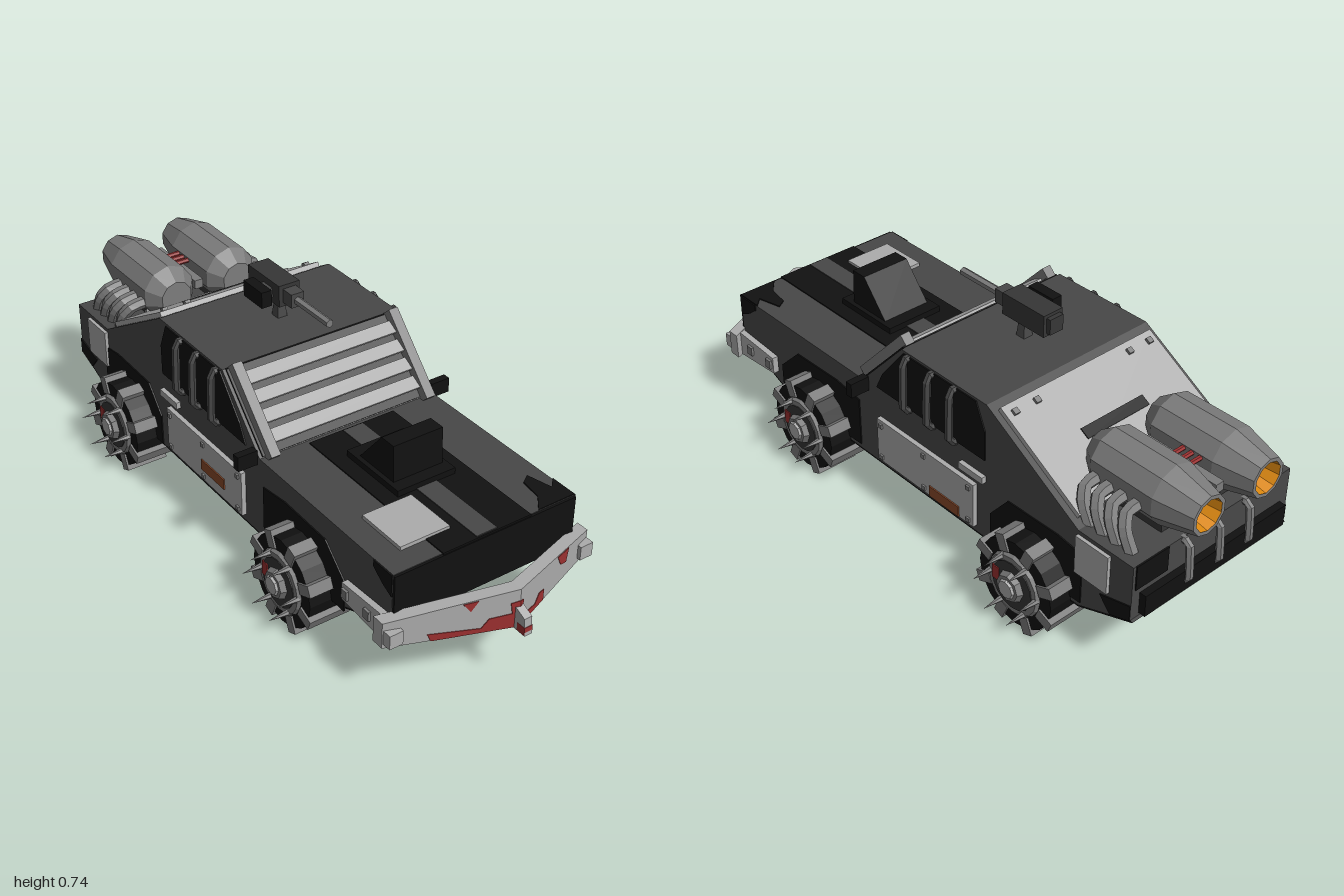
import * as THREE from 'three';

const mat = (name, color, extra = {}) => Object.assign(new THREE.MeshStandardMaterial({ color, ...extra }), { name });

export function createModel() {
  const model = new THREE.Group();
  model.name = 'armouredCar';
  const paint = mat('bodyGrey', 0x484848);
  const black = mat('black', 0x111111);
  const light = mat('lightSteel', 0xacacac);
  const steel = mat('steel', 0x7c7c7c);
  const dark = mat('gunmetal', 0x363636);
  const rust = mat('rust', 0x8a4a2a);
  const red = mat('red', 0x9c3030);
  const orange = mat('exhaustOrange', 0xe08a10, { side: THREE.DoubleSide });

  const add = (name, geo, m, parent = model) => {
    const mesh = new THREE.Mesh(geo.index ? geo.toNonIndexed() : geo, m);
    mesh.geometry.computeVertexNormals();
    mesh.name = name;
    parent.add(mesh);
    return mesh;
  };
  const box = (name, m, w, h, d, x, y, z, parent = model) => {
    const b = add(name, new THREE.BoxGeometry(w, h, d), m, parent);
    b.position.set(x, y, z);
    return b;
  };
  const shape = (pts) => new THREE.Shape(pts.map((p) => new THREE.Vector2(...p)));
  // Side outline given as (z, y), extruded across x
  const slab = (name, m, pts, x, w) => {
    const g = new THREE.ExtrudeGeometry(shape(pts), { depth: w, bevelEnabled: false });
    g.translate(0, 0, -w / 2).rotateY(-Math.PI / 2).translate(x, 0, 0);
    return add(name, g, m);
  };
  const tube = (name, m, pts, r, parent = model) => {
    const path = new THREE.CatmullRomCurve3(pts.map((p) => new THREE.Vector3(...p)), false, 'catmullrom', 0.2);
    return add(name, new THREE.TubeGeometry(path, 10, r, 6), m, parent);
  };
  const cylX = (name, m, r0, r1, len, sides, x, y, z, parent) => {
    const g = new THREE.CylinderGeometry(r1, r0, len, sides).rotateZ(-Math.PI / 2);
    const c = add(name, g, m, parent);
    c.position.set(x, y, z);
    return c;
  };

  // Hull, with black nose and underside
  slab('body', paint, [[0.81, 0.41], [0.18, 0.41], [-0.01, 0.61], [-0.37, 0.61], [-0.73, 0.4], [-0.93, 0.4],
    [-0.93, 0.22], [-0.74, 0.145], [0.56, 0.145], [0.81, 0.25]], 0, 0.62);
  slab('noseAndUnderside', black, [[0.81, 0.408], [0.81, 0.25], [0.56, 0.145], [-0.74, 0.145], [-0.93, 0.22],
    [-0.937, 0.215], [-0.74, 0.138], [0.56, 0.138], [0.818, 0.246], [0.818, 0.408]], 0, 0.618);

  // Hood paint, plate and air intake
  box('hoodStripe', black, 0.3, 0.006, 0.62, 0, 0.411, 0.505);
  box('hoodCentreRear', paint, 0.07, 0.006, 0.14, 0, 0.414, 0.27);
  box('hoodCentreFront', paint, 0.07, 0.006, 0.26, 0, 0.414, 0.68);
  box('hoodPlate', light, 0.165, 0.012, 0.17, -0.152, 0.417, 0.655);
  const patch = add('hoodPatch', new THREE.ExtrudeGeometry(shape([[0.18, -0.81], [0.31, -0.81], [0.31, -0.72],
    [0.28, -0.75], [0.26, -0.67], [0.23, -0.69], [0.22, -0.76]]), { depth: 0.005, bevelEnabled: false }), black);
  patch.rotation.x = -Math.PI / 2;
  patch.position.y = 0.409;
  box('intakeBase', black, 0.2, 0.025, 0.24, 0, 0.421, 0.43);
  slab('intakeScoop', black, [[0.51, 0.43], [0.505, 0.55], [0.45, 0.55], [0.35, 0.43]], 0, 0.17);

  // Windshield with armoured slats
  const wind = new THREE.Group();
  wind.name = 'windshield';
  wind.position.set(0, 0.51, 0.085);
  wind.rotation.x = Math.atan2(0.2, 0.19);
  model.add(wind);
  box('glass', black, 0.6, 0.008, 0.27, 0, 0.002, 0, wind);
  for (const s of [-1, 1]) box('slatFrame', steel, 0.032, 0.035, 0.29, s * 0.276, 0.02, 0.005, wind);
  for (let i = 0; i < 4; i++) {
    box('slat', light, 0.53, 0.008, 0.043, 0, 0.018, -0.09 + i * 0.06, wind).rotation.x = -0.3;
  }
  box('roofEdge', black, 0.6, 0.012, 0.012, 0, 0.604, -0.008);

  // Rear window plate
  const rear = new THREE.Group();
  rear.name = 'rearWindowArmour';
  rear.position.set(0, 0.505, -0.55);
  rear.rotation.x = -Math.atan2(0.21, 0.36);
  model.add(rear);
  box('rearPlate', light, 0.58, 0.016, 0.36, 0, 0.008, 0, rear);
  box('rearSlot', black, 0.24, 0.006, 0.035, 0, 0.016, 0.005, rear);
  for (const x of [-0.26, -0.18, 0.18, 0.26]) for (const z of [-0.15, 0.15]) {
    box('rivet', steel, 0.018, 0.01, 0.018, x, 0.02, z, rear);
  }

  for (const s of [-1, 1]) {
    // Side window, cage bars and mirror
    slab('sideWindow', black, [[0.11, 0.42], [0.08, 0.48], [-0.02, 0.602], [-0.33, 0.602], [-0.365, 0.52], [-0.365, 0.42]], s * 0.311, 0.006);
    for (const z of [-0.04, -0.145, -0.24]) {
      tube('windowBar', paint, [[s * 0.3, 0.595, z], [s * 0.33, 0.59, z], [s * 0.335, 0.43, z], [s * 0.3, 0.415, z]], 0.012);
    }
    box('mirror', black, 0.065, 0.048, 0.025, s * 0.345, 0.412, 0.16);
    // Door armour
    box('doorPlate', light, 0.018, 0.15, 0.43, s * 0.316, 0.243, -0.115);
    for (const z of [0.08, -0.115, -0.31]) for (const y of [0.185, 0.3]) {
      box('rivet', steel, 0.01, 0.014, 0.014, s * 0.326, y, z);
    }
    box('rustPatch', rust, 0.006, 0.036, 0.13, s * 0.326, s > 0 ? 0.188 : 0.225, s > 0 ? -0.205 : -0.06);
    box('doorHandle', light, 0.02, 0.022, 0.1, s * 0.315, 0.355, -0.317);
    box('rearSidePlate', light, 0.012, 0.125, 0.12, s * 0.315, 0.325, -0.79);
    // Painted dark areas and wheel arches
    for (const [z, w] of [[0.4, 0.2], [-0.57, 0.18]]) {
      slab('wheelArch', black, [[z + w, 0.145], [z + w, 0.25], [z + 0.11, 0.335], [z - 0.09, 0.34],
        [z - 0.2, 0.325], [z - w, 0.25], [z - w, 0.16]], s * 0.311, 0.006);
    }
    slab('noseCornerPatch', black, [[0.81, 0.41], [0.81, 0.34], [0.77, 0.36], [0.73, 0.39], [0.73, 0.41]], s * 0.311, 0.006);
    slab('tailPatch', black, [[-0.82, 0.24], [-0.93, 0.27], [-0.93, 0.22], [-0.86, 0.195]], s * 0.311, 0.006);
    // Bumper side arm
    slab('bumperArm', light, [[0.82, 0.2], [0.82, 0.285], [0.62, 0.272], [0.62, 0.215]], s * 0.325, 0.02);
    for (const z of [0.64, 0.74]) box('armBolt', steel, 0.012, 0.03, 0.025, s * 0.337, 0.245, z);

    // Wheels
    for (const z of [0.4, -0.57]) {
      const wheel = new THREE.Group();
      wheel.name = 'wheel';
      wheel.position.set(s * 0.32, 0.15, z);
      if (s < 0) wheel.rotation.y = Math.PI;
      model.add(wheel);
      cylX('tyre', black, 0.143, 0.143, 0.13, 16, 0, 0, 0, wheel);
      cylX('rim', steel, 0.105, 0.095, 0.016, 16, 0.067, 0, 0, wheel);
      cylX('rimRecess', dark, 0.078, 0.078, 0.006, 16, 0.075, 0, 0, wheel);
      cylX('hub', steel, 0.055, 0.042, 0.03, 8, 0.08, 0, 0, wheel);
      cylX('hubCap', light, 0.034, 0.028, 0.014, 8, 0.095, 0, 0, wheel);
      box('redStain', red, 0.006, 0.045, 0.026, 0.078, 0.01, 0.062, wheel);
      for (let i = 0; i < 8; i++) {
        const a = (i + 0.5) * Math.PI / 4;
        const cleat = box('treadCleat', steel, 0.142, 0.055, 0.036, 0, Math.cos(a) * 0.13, Math.sin(a) * 0.13, wheel);
        cleat.rotation.x = a;
      }
      for (let i = 0; i < 6; i++) {
        const a = i * Math.PI / 3;
        cylX('spike', steel, 0.011, 0, 0.075, 6, 0.102, Math.sin(a) * 0.09, Math.cos(a) * 0.09, wheel);
      }
    }

    // Thruster with open orange nozzle
    const prof = [[0, 0], [0.055, 0], [0.092, 0.05], [0.093, 0.27], [0.062, 0.39], [0.05, 0.39]];
    const at = (g) => g.rotateX(-Math.PI / 2).translate(s * 0.115, 0.51, -0.61);
    const lathe = (p) => at(new THREE.LatheGeometry(p.map((q) => new THREE.Vector2(...q)), 10));
    add('thruster', lathe(prof), steel);
    add('nozzle', lathe([[0.052, 0.39], [0.035, 0.3], [0, 0.3]]), orange);
    box('thrusterMount', dark, 0.08, 0.05, 0.2, s * 0.115, 0.415, -0.78);
    for (let i = 0; i < 4; i++) {
      const z = -0.68 - i * 0.05;
      tube('exhaustPipe', steel, [[s * 0.17, 0.49, z], [s * 0.24, 0.485, z], [s * 0.265, 0.45, z - 0.02], [s * 0.265, 0.39, z - 0.05]], 0.02);
    }
  }

  // Links between the thrusters
  box('thrusterLink', steel, 0.03, 0.03, 0.27, 0, 0.5, -0.8);
  for (const z of [-0.78, -0.81, -0.84]) cylX('redLink', red, 0.008, 0.008, 0.07, 6, 0, 0.53, z, model);

  // Tail bumper and guard hoops
  box('tailBumper', black, 0.56, 0.07, 0.025, 0, 0.265, -0.94);
  box('tailPatch', black, 0.12, 0.08, 0.006, 0.24, 0.36, -0.931);
  for (const x of [-0.12, 0, 0.12]) {
    tube('tailHoop', steel, [[x, 0.39, -0.92], [x, 0.385, -0.95], [x, 0.27, -0.957], [x, 0.255, -0.93]], 0.012);
  }

  // V-shaped ram: outlines in (x, y), swept back away from the centre
  const ram = (name, m, pts, depth, lift) => {
    const g = new THREE.ExtrudeGeometry(shape(pts), { depth, bevelEnabled: false });
    const p = g.attributes.position;
    for (let i = 0; i < p.count; i++) p.setZ(i, p.getZ(i) + 0.79 + lift + 0.13 * (1 - Math.abs(p.getX(i)) / 0.355));
    add(name, g, m);
  };
  for (const s of [-1, 1]) {
    ram('ramBumper', light, [[0, 0.195], [s * 0.355, 0.2], [s * 0.355, 0.283], [0, 0.323]], 0.04, 0);
    box('ramEndBlock', light, 0.044, 0.045, 0.03, s * 0.33, 0.237, 0.845);
  }
  const stains = [
    [[0, 0.197], [0, 0.285], [-0.025, 0.28], [-0.02, 0.245], [-0.08, 0.24], [-0.1, 0.212], [-0.24, 0.222], [-0.23, 0.198]],
    [[0, 0.197], [0, 0.285], [0.015, 0.28], [0.015, 0.225], [0.08, 0.215], [0.1, 0.24], [0.125, 0.235], [0.125, 0.199]],
    [[0.19, 0.298], [0.25, 0.292], [0.24, 0.25], [0.21, 0.26]],
    [[-0.15, 0.303], [-0.11, 0.307], [-0.13, 0.275]],
  ];
  stains.forEach((pts) => ram('redStain', red, pts, 0.004, 0.038));
  slab('ramSpike', light, [[0.93, 0.195], [1, 0.195], [0.995, 0.25], [0.94, 0.275]], 0, 0.026);
  box('ramSpikeStain', red, 0.028, 0.025, 0.03, 0, 0.21, 0.984);

  // Roof gun
  const post = add('gunPost', new THREE.CylinderGeometry(0.015, 0.024, 0.06, 4, 1).rotateY(Math.PI / 4), paint);
  post.position.set(0, 0.638, -0.185);
  box('gunBody', dark, 0.072, 0.07, 0.17, 0, 0.706, -0.215);
  box('gunRear', dark, 0.05, 0.05, 0.03, 0, 0.706, -0.3);
  box('gunCollar', paint, 0.045, 0.045, 0.05, 0, 0.706, -0.11);
  box('ammoArm', paint, 0.04, 0.03, 0.05, -0.045, 0.705, -0.19);
  box('ammoBox', black, 0.035, 0.052, 0.1, -0.073, 0.705, -0.19);
  const barrel = add('gunBarrel', new THREE.CylinderGeometry(0.013, 0.013, 0.18, 6).rotateX(Math.PI / 2), steel);
  barrel.position.set(0, 0.704, -0.01);

  return model;
}
